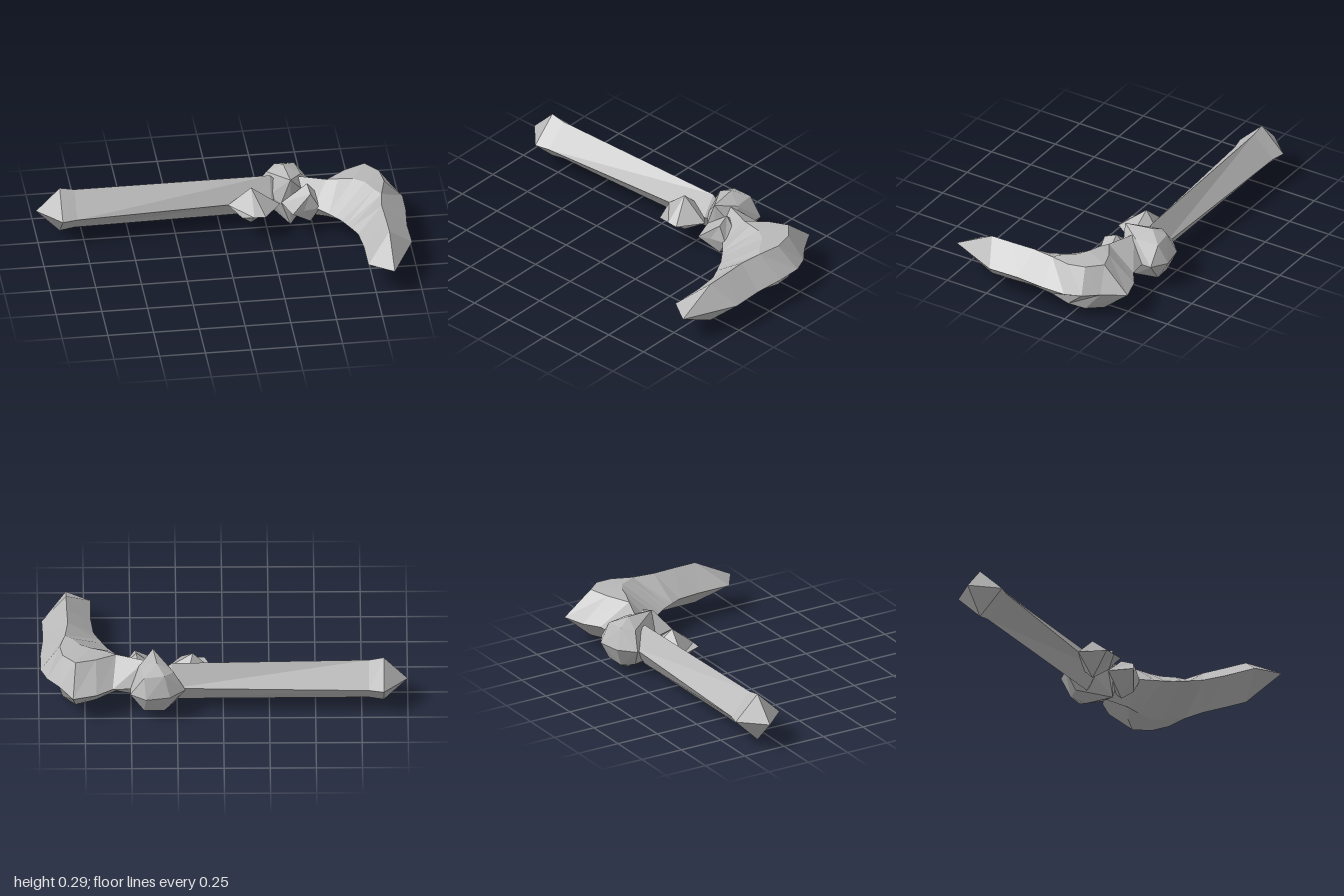
import * as THREE from 'three';
import { ConvexGeometry } from 'three/addons/geometries/ConvexGeometry.js';

const MID = 0.15; // height of the symmetry plane

// Faceted cross-section: inner edge, two top ridge points, outer edge, mirrored below. Points are [x, z].
function section(inner, ridgeA, ridgeB, outer, h) {
  const p = ([x, z], dy) => new THREE.Vector3(x, MID + dy, z);
  return [p(inner, 0), p(ridgeA, h), p(ridgeB, h), p(outer, 0), p(ridgeB, -h), p(ridgeA, -h)];
}
const diamond = (inner, ridge, outer, h) => section(inner, ridge, ridge, outer, h);
const apex = (x, z) => diamond([x, z], [x, z], [x, z], 0);

// Skin a list of cross-sections, dropping empty triangles and turning faces outward.
function loft(sections) {
  const tris = [];
  const add = (a, b, c) => {
    if (new THREE.Triangle(a, b, c).getArea() > 1e-7) tris.push([a, b, c]);
  };
  for (let s = 0; s < sections.length - 1; s++) {
    const A = sections[s], B = sections[s + 1];
    for (let i = 0; i < 6; i++) {
      const j = (i + 1) % 6;
      add(A[i], B[i], B[j]);
      add(A[i], B[j], A[j]);
    }
  }
  const volume = tris.reduce((v, [a, b, c]) => v + a.dot(b.clone().cross(c)), 0);
  if (volume < 0) tris.forEach((t) => t.reverse());
  const geometry = new THREE.BufferGeometry().setFromPoints(tris.flat());
  geometry.computeVertexNormals();
  return geometry;
}

export function createModel() {
  const group = new THREE.Group();
  const stone = new THREE.MeshStandardMaterial({ color: 0xb8b8b8 });
  stone.name = 'grey stone';
  stone.flatShading = true;
  const part = (name, geometry) => {
    const mesh = new THREE.Mesh(geometry, stone);
    mesh.name = name;
    group.add(mesh);
  };

  // Long diamond handle with a flared, pointed pommel
  part('handle', loft([
    apex(-1, -0.34),
    diamond([-0.87, -0.2], [-0.87, -0.34], [-0.87, -0.478], 0.135),
    diamond([-0.79, -0.217], [-0.79, -0.34], [-0.79, -0.46], 0.12),
    diamond([0.28, -0.28], [0.28, -0.355], [0.28, -0.43], 0.114),
    apex(0.4, -0.36),
  ]));

  // Curved head, from the neck round to the pointed tip
  part('curvedHead', loft([
    apex(0.33, -0.33),
    diamond([0.4, -0.22], [0.42, -0.33], [0.43, -0.43], 0.115),
    diamond([0.5, -0.18], [0.58, -0.27], [0.6, -0.44], 0.117),
    section([0.57, -0.1], [0.64, -0.25], [0.69, -0.34], [0.687, -0.5], 0.128),
    section([0.6, -0.06], [0.72, -0.23], [0.8, -0.38], [0.815, -0.537], 0.135),
    section([0.63, -0.02], [0.78, -0.19], [0.87, -0.3], [0.89, -0.41], 0.132),
    section([0.65, 0.02], [0.82, -0.12], [0.885, -0.2], [0.955, -0.33], 0.125),
    diamond([0.67, 0.06], [0.855, -0.08], [0.99, -0.24], 0.118),
    diamond([0.7, 0.126], [0.84, 0.045], [0.99, -0.1], 0.118),
    diamond([0.714, 0.26], [0.845, 0.18], [0.975, 0.067], 0.118),
    diamond([0.714, 0.447], [0.847, 0.31], [0.98, 0.243], 0.118),
    apex(0.847, 0.537),
  ]));

  // Faceted knot where handle and head meet
  const knot = [
    [0.205, -0.445], [0.29, -0.525], [0.42, -0.548], [0.505, -0.49],
    [0.5, -0.3], [0.33, -0.25], [0.26, -0.33],
  ].map(([x, z]) => new THREE.Vector3(x, MID, z));
  for (const [x, h, z] of [
    [0.36, 0.147, -0.41], [0.32, 0.11, -0.48], [0.43, 0.103, -0.49],
    [0.38, 0.14, -0.25], [0.27, 0.1, -0.42], [0.45, 0.11, -0.36],
  ]) knot.push(new THREE.Vector3(x, MID + h, z), new THREE.Vector3(x, MID - h, z));
  part('knot', new ConvexGeometry(knot));

  // Chisel-ended stub beside the handle
  part('handleStub', loft([
    apex(0.2, -0.36),
    diamond([0.04, -0.265], [0.165, -0.25], [0.32, -0.24], 0.11),
    diamond([0.1, -0.12], [0.165, -0.115], [0.227, -0.11], 0),
  ]));

  // Blunt stub beside the neck
  part('neckStub', loft([
    apex(0.45, -0.36),
    diamond([0.33, -0.25], [0.47, -0.25], [0.57, -0.24], 0.112),
    diamond([0.377, -0.12], [0.48, -0.18], [0.53, -0.17], 0.085),
    apex(0.44, -0.15),
  ]));

  return group;
}
